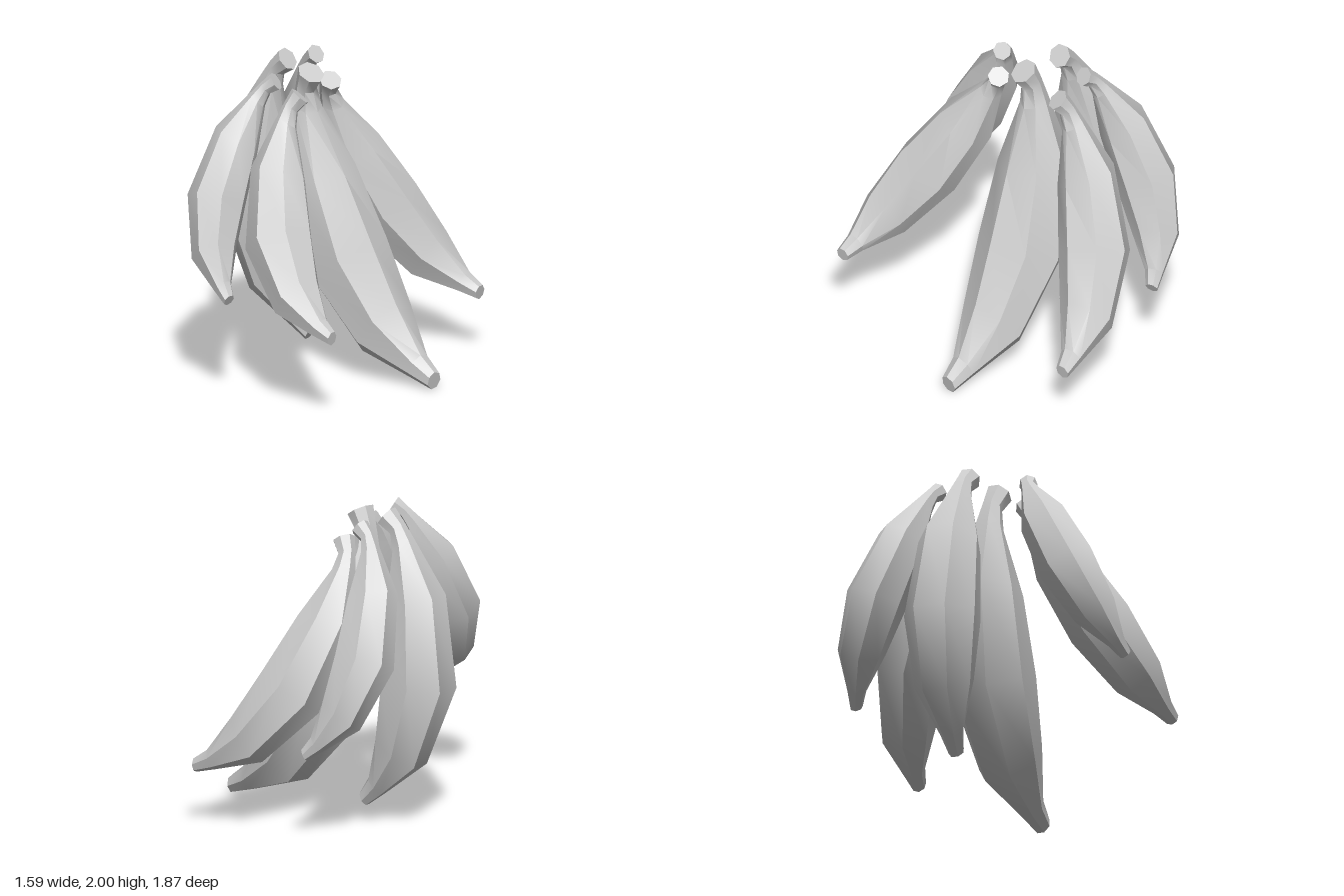
import * as THREE from 'three';
import { toCreasedNormals } from 'three/addons/utils/BufferGeometryUtils.js';

const SIDES = 7;

// Rings along one fruit, as fractions of its length:
// [distance along chord, bow away from chord, radius, heading in degrees]
const RINGS = [
  [0.0, 0.0, 0.042, 56],
  [0.035, 0.045, 0.033, 52],
  [0.09, 0.072, 0.045, 45],
  [0.285, 0.135, 0.112, 24],
  [0.56, 0.17, 0.135, -2],
  [0.8, 0.125, 0.105, -30],
  [0.945, 0.045, 0.042, -45],
  [1.0, 0.0, 0.028, -58],
];

// Lofts a curved seven-sided fruit from its stem to its tip, bulging towards bow
function fruitGeometry(stem, tip, bow) {
  const chord = tip.clone().sub(stem);
  const length = chord.length();
  const d = chord.normalize();
  const n = bow.clone().addScaledVector(d, -bow.dot(d)).normalize();
  const w = d.clone().cross(n);
  const positions = [];
  const index = [];

  for (const [t, off, radius, degrees] of RINGS) {
    const a = THREE.MathUtils.degToRad(degrees);
    const centre = stem.clone().addScaledVector(d, t * length).addScaledVector(n, off * length);
    const outward = n.clone().multiplyScalar(Math.cos(a)).addScaledVector(d, -Math.sin(a));
    for (let j = 0; j < SIDES; j++) {
      const angle = Math.PI + (j / SIDES) * Math.PI * 2; // one ridge on the inner curve
      const p = centre.clone()
        .addScaledVector(outward, Math.cos(angle) * radius * length)
        .addScaledVector(w, Math.sin(angle) * radius * length);
      positions.push(p.x, p.y, p.z);
    }
  }

  // Skin between the rings
  for (let i = 0; i < RINGS.length - 1; i++) {
    for (let j = 0; j < SIDES; j++) {
      const k = (j + 1) % SIDES;
      const a = i * SIDES + j, b = i * SIDES + k;
      index.push(a, b, a + SIDES, b, b + SIDES, a + SIDES);
    }
  }

  // Flat ends
  const last = (RINGS.length - 1) * SIDES;
  for (let j = 1; j < SIDES - 1; j++) {
    index.push(0, j + 1, j);
    index.push(last, last + j, last + j + 1);
  }

  const geometry = new THREE.BufferGeometry();
  geometry.setAttribute('position', new THREE.Float32BufferAttribute(positions, 3));
  geometry.setIndex(index);
  // Smooth along the length, sharp along the ridges
  return toCreasedNormals(geometry, 0.75);
}

export function createModel() {
  const group = new THREE.Group();
  group.name = 'bananaBunch';
  const material = new THREE.MeshStandardMaterial({ color: 0xcccccc });

  // name, stem end, tip, direction of the bulge
  const fruits = [
    ['middleLeftBanana', [-0.08, 1.93, 0.02], [0.785, 0.06, -0.05], [-1, 0, -0.2]],
    ['frontLeftBanana', [-0.05, 1.83, 0.19], [0.64, 0.56, 0.88], [-1, 0, 0]],
    ['backLeftBanana', [-0.1, 1.81, -0.23], [0.625, 0.4, -0.81], [-1, 0, -0.1]],
    ['frontRightBanana', [-0.18, 1.92, 0.26], [-0.12, 0.675, 0.885], [-1, 0, 0]],
    ['backRightBanana', [-0.26, 1.93, -0.31], [-0.19, 0.6, -0.89], [-1, 0, 0]],
    ['middleRightBanana', [-0.32, 1.95, -0.08], [-0.23, 0.15, -0.2], [-1, 0, 0]],
  ];
  for (const [name, stem, tip, bow] of fruits) {
    const geometry = fruitGeometry(
      new THREE.Vector3(...stem), new THREE.Vector3(...tip), new THREE.Vector3(...bow));
    const mesh = new THREE.Mesh(geometry, material);
    mesh.name = name;
    group.add(mesh);
  }
  return group;
}
